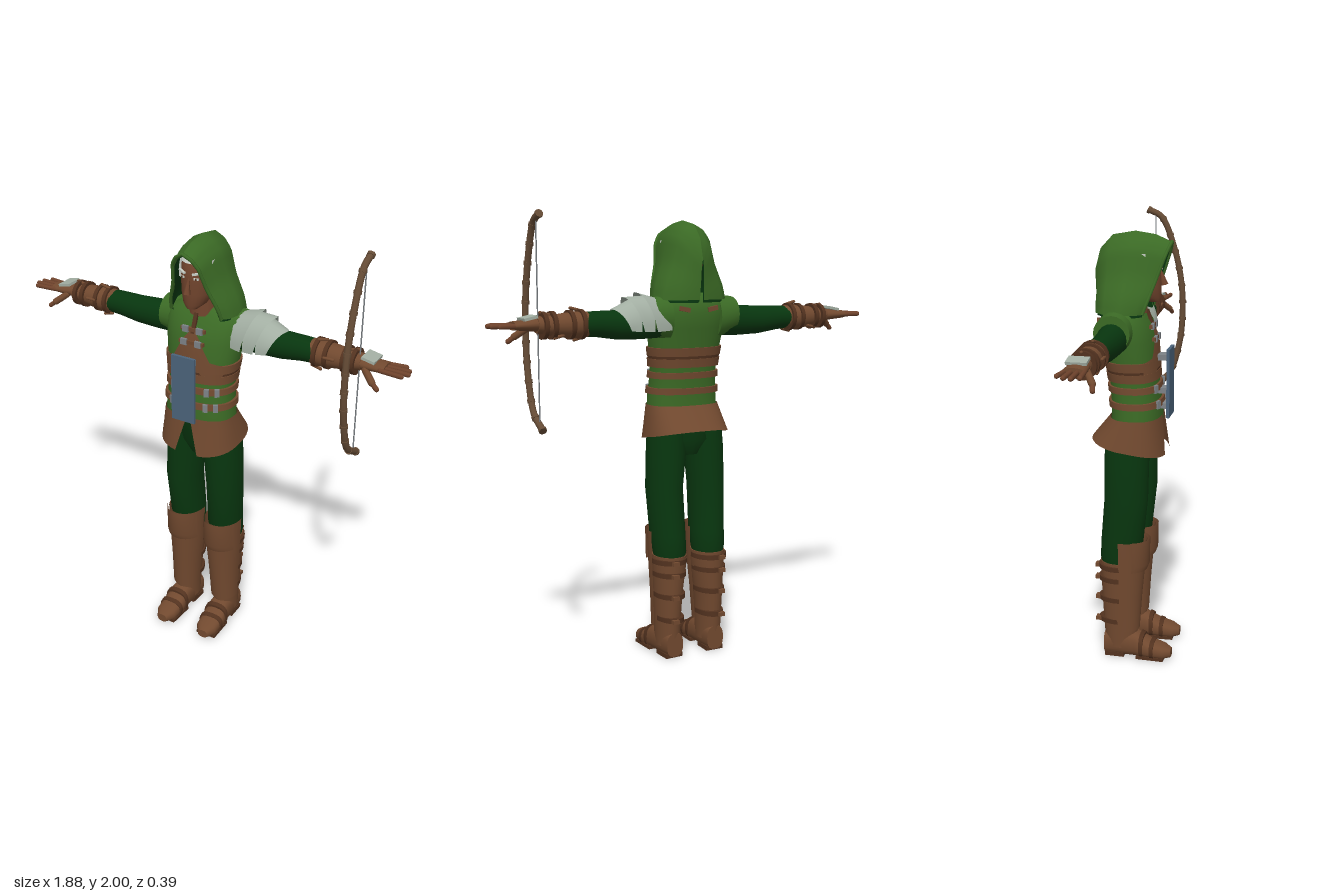
import * as THREE from 'three';
import { toCreasedNormals } from 'three/addons/utils/BufferGeometryUtils.js';
import { ParametricGeometry } from 'three/addons/geometries/ParametricGeometry.js';

const mat = (name, color) => new THREE.MeshStandardMaterial({ name, color, side: THREE.DoubleSide });
const M = {
  green: mat('leaf green cloth', 0x3b6a25), dark: mat('dark green cloth', 0x08360f),
  brown: mat('brown leather', 0x71492f), deep: mat('dark leather', 0x52321f),
  skin: mat('skin', 0x6f432c), pale: mat('white hair', 0xc6ccc4), plate: mat('pale plate', 0xa3afa3),
  slate: mat('slate', 0x4b637b), wood: mat('bow wood', 0x664c36), metal: mat('grey metal', 0x7d8286),
};
const V = (x, y, z) => new THREE.Vector3(x, y, z);
const pow = (c, p) => Math.sign(c) * Math.abs(c) ** p;

function add(parent, name, geo, material, x = 0, y = 0, z = 0) {
  const m = new THREE.Mesh(geo, material);
  m.name = name;
  m.position.set(x, y, z);
  parent.add(m);
  return m;
}

// Surface over u, v with smooth normals and sharp creases
function surface(fn, nu, nv, crease = 0.9) {
  const g = new ParametricGeometry((u, v, t) => t.set(...fn(u, v)), nu, nv);
  g.deleteAttribute('normal');
  g.deleteAttribute('uv');
  g.scale(100, 100, 100);
  return toCreasedNormals(g, crease).scale(0.01, 0.01, 0.01);
}

// Closed body from rings [y, x, z, rx, rz]
function loft(rings, p = 1, n = 24) {
  const a = rings[0], b = rings[rings.length - 1];
  const r = [[a[0], a[1], a[2], 0, 0], ...rings, [b[0], b[1], b[2], 0, 0]];
  return surface((u, v) => {
    const [y, x, z, rx, rz] = r[Math.round(v * (r.length - 1))];
    const k = Math.round(u * n) % n * 2 * Math.PI / n;
    return [x + rx * pow(Math.sin(k), p), y, z + rz * pow(Math.cos(k), p)];
  }, n, r.length - 1);
}

// Linear lookup in rows sorted by their first value
function lookup(rows, t) {
  let i = 0;
  while (i < rows.length - 2 && t > rows[i + 1][0]) i++;
  const k = THREE.MathUtils.clamp((t - rows[i][0]) / (rows[i + 1][0] - rows[i][0]), 0, 1);
  return rows[i].map((q, j) => q + (rows[i + 1][j] - q) * k);
}

// Capsule between two points
function rod(parent, name, a, b, r, material) {
  const d = b.clone().sub(a), m = add(parent, name, new THREE.CapsuleGeometry(r, d.length(), 4, 8), material);
  m.position.copy(a).addScaledVector(d, 0.5);
  m.quaternion.setFromUnitVectors(V(0, 1, 0), d.normalize());
  return m;
}

const box = (w, h, d) => new THREE.BoxGeometry(w, h, d);

const TORSO = [[1.13, 0, 0.01, 0.165, 0.112], [1.2, 0, 0.01, 0.16, 0.11], [1.3, 0, 0, 0.153, 0.106],
  [1.4, 0, -0.01, 0.165, 0.11], [1.5, 0, -0.025, 0.178, 0.115], [1.57, 0, -0.04, 0.183, 0.112],
  [1.62, 0, -0.05, 0.172, 0.09], [1.65, 0, -0.05, 0.1, 0.07]];
const TP = 0.85;
function chestZ(x, y) {
  const [, , z, rx, rz] = lookup(TORSO, y);
  return z + rz * Math.max(0, 1 - Math.abs(x / rx) ** (2 / TP)) ** (TP / 2);
}

function buildTorso(g) {
  add(g, 'vest', loft(TORSO, TP, 32), M.green);
  const band = (name, y, h, off, m) => {
    const ring = yy => { const [, x, z, rx, rz] = lookup(TORSO, yy); return [yy, x, z, rx + off, rz + off]; };
    add(g, name, loft([ring(y - h / 2), ring(y + h / 2)], TP, 32), m);
  };
  for (const y of [1.22, 1.29]) band('waistStrap', y, 0.028, 0.011, M.brown);
  for (const y of [1.345, 1.395]) band('ribBand', y, 0.038, 0.009, M.brown);
  band('ribBandGap', 1.37, 0.03, 0.006, M.deep);
  // Curved leather panel below the breast
  const top = [[0, 1.57], [0.04, 1.52], [0.09, 1.43], [0.16, 1.41]];
  const low = [[0, 1.44], [0.05, 1.37], [0.1, 1.335], [0.16, 1.33]];
  add(g, 'chestPanel', surface((u, v) => {
    const x = (u - 0.5) * 0.31, a = lookup(low, Math.abs(x))[1], b = lookup(top, Math.abs(x))[1];
    const y = a + (b - a) * v;
    return [x, y, chestZ(x, y) + 0.009];
  }, 24, 4), M.brown);
  add(g, 'collarLacing', box(0.018, 0.09, 0.012), M.deep, 0, 1.585, 0.068).rotation.x = -0.35;
  // Clasps, buckles and the slate on its brackets
  for (const y of [1.56, 1.505]) {
    add(g, 'claspStrap', box(0.12, 0.016, 0.014), M.brown, 0, y, chestZ(0.03, y) + 0.006);
    for (const s of [-1, 1]) add(g, 'clasp', box(0.03, 0.028, 0.012), M.metal, s * 0.035, y, chestZ(0.035, y) + 0.012);
  }
  for (const y of [1.22, 1.29]) for (const x of [-0.085, 0.085, 0.125]) {
    const b = add(g, 'buckle', box(0.022, 0.036, 0.012), M.metal, x, y, chestZ(x, y) + 0.015);
    b.rotation.y = x * 5;
  }
  for (const y of [1.2, 1.27, 1.42]) add(g, 'bracket', box(0.06, 0.025, 0.06), M.metal, 0, y, 0.125);
  add(g, 'slate', box(0.115, 0.31, 0.014), M.slate, -0.002, 1.308, 0.158);
  for (const s of [-1, 1]) add(g, 'backTab', box(0.05, 0.02, 0.012), M.brown, s * 0.07, 1.585, -0.146).rotation.z = s * 0.2;
  // Flared skirt, split at the front and longer there
  add(g, 'skirt', surface((u, v) => {
    const d = 1 - v, gap = 0.02 + 0.2 * d, k = gap + u * (2 * Math.PI - 2 * gap), c = Math.cos(k);
    return [(0.166 + 0.024 * d) * pow(Math.sin(k), 0.8), 1.155 - d * (0.14 + 0.035 * c),
      0.01 - 0.03 * d + (0.115 + 0.055 * d) * pow(c, 0.8)];
  }, 40, 4), M.brown);
  add(g, 'hips', loft([[0.93, 0, -0.02, 0.06, 0.07], [1.0, 0, -0.02, 0.15, 0.1], [1.13, 0, 0, 0.16, 0.105]]), M.dark);
}

function buildHead(g) {
  add(g, 'neck', new THREE.CylinderGeometry(0.055, 0.065, 0.1, 16), M.skin, 0, 1.665, -0.01);
  add(g, 'head', loft([[1.665, 0, 0.085, 0.025, 0.025], [1.685, 0, 0.06, 0.05, 0.055], [1.73, 0, 0.03, 0.07, 0.085],
    [1.79, 0, 0.015, 0.078, 0.1], [1.85, 0, 0.005, 0.078, 0.105], [1.9, 0, -0.01, 0.06, 0.085], [1.925, 0, -0.01, 0.02, 0.03]]), M.skin);
  const nose = add(g, 'nose', new THREE.ConeGeometry(0.017, 0.075, 6), M.skin, 0, 1.775, 0.12);
  nose.rotation.x = -0.25;
  add(g, 'mouth', box(0.04, 0.006, 0.008), M.deep, 0, 1.712, 0.105);
  add(g, 'hair', loft([[1.868, 0, 0.004, 0.08, 0.108], [1.9, 0, -0.008, 0.068, 0.096], [1.925, 0, -0.01, 0.03, 0.05]]), M.pale);
  for (const s of [-1, 1]) {
    add(g, 'eye', box(0.022, 0.008, 0.006), M.pale, s * 0.033, 1.805, 0.108).rotation.y = s * 0.4;
    add(g, 'pupil', box(0.008, 0.008, 0.006), M.deep, s * 0.033, 1.805, 0.11).rotation.y = s * 0.4;
    const brow = add(g, 'brow', box(0.038, 0.008, 0.01), M.pale, s * 0.035, 1.828, 0.108);
    brow.rotation.set(0, s * 0.4, s * 0.2);
    add(g, 'sideHair', box(0.012, 0.1, 0.05), M.pale, s * 0.076, 1.83, 0.035);
    add(g, 'ear', new THREE.SphereGeometry(0.02, 10, 8), M.skin, s * 0.08, 1.77, 0.0);
  }
  // Hood from arches [topZ, topY, footZ, width], front to back
  const arches = [[0.16, 1.925, 0.055, 0.125], [0.09, 1.955, 0.03, 0.15], [0, 1.968, -0.04, 0.168],
    [-0.1, 1.95, -0.11, 0.155], [-0.155, 1.89, -0.155, 0.11], [-0.18, 1.8, -0.172, 0.01]];
  const shape = [[0, 1], [0.16, 0.94], [0.48, 0.66], [0.8, 0.5], [0.93, 0.29], [1, 0]];
  const arch = (u, i) => {
    const [zt, yt, zf, w] = arches[i], q = 1 - Math.abs(2 * u - 1);
    const h = Math.sin(q * Math.PI / 2);
    return [Math.sign(u - 0.5) * w * lookup(shape, h)[1], 1.625 + (yt - 1.625) * h, zf + (zt - zf) * h];
  };
  add(g, 'hood', surface((u, v) => arch(u, Math.round(v * 5)), 32, 5, 1.2), M.green);
  const rim = new THREE.CatmullRomCurve3(Array.from({ length: 25 }, (_, i) => V(...arch(i / 24, 0))));
  add(g, 'hoodRim', new THREE.TubeGeometry(rim, 48, 0.008, 6), M.green);
  add(g, 'hoodLining', surface((u, v) => {
    const [x, y, z] = arch(1 - u, Math.round(v * 5));
    return [x * 0.93, y - 0.012, z * 0.95];
  }, 32, 5, 1.2), M.dark);
}

function buildArm(g, s) {
  // Limb is built along its own y, then turned outward
  const a = new THREE.Group();
  a.name = s > 0 ? 'leftArm' : 'rightArm';
  a.position.set(0, 1.535, -0.06);
  a.rotation.z = -s * Math.PI / 2;
  g.add(a);
  const R = rows => loft(rows.map(([x, dy, ry, rz]) => [x, -s * dy, 0, ry, rz]), 1, 20);
  add(a, 'armhole', R([[0.12, 0.01, 0.1, 0.085], [0.215, 0.02, 0.078, 0.08]]), M.green);
  add(a, 'sleeve', R([[0.14, 0, 0.075, 0.075], [0.25, -0.01, 0.068, 0.063], [0.36, -0.012, 0.063, 0.057],
    [0.46, -0.005, 0.055, 0.055], [0.56, -0.005, 0.05, 0.052], [0.7, -0.005, 0.038, 0.04]]), M.dark);
  add(a, 'bracer', R([[0.5, -0.005, 0.054, 0.052], [0.56, -0.006, 0.057, 0.057], [0.66, -0.005, 0.045, 0.046], [0.73, 0, 0.034, 0.042]]), M.brown);
  for (const x of [0.52, 0.57, 0.65, 0.69]) add(a, 'bracerStrap',
    R([[x, -0.004, 0.082 - x * 0.035, 0.084 - x * 0.035], [x + 0.018, -0.004, 0.082 - x * 0.035, 0.084 - x * 0.035]]), M.deep);
  add(a, 'palm', R([[0.71, 0, 0.03, 0.038], [0.77, 0, 0.024, 0.045], [0.835, 0, 0.018, 0.048]]), M.brown);
  const P = (x, y, z) => V(s * x, y, z);
  for (let i = 0; i < 4; i++) rod(g, 'finger', P(0.82, 1.535, -0.095 + i * 0.025), P([0.9, 0.925, 0.932, 0.915][i], 1.535, -0.105 + i * 0.031), 0.0105, M.skin);
  rod(g, 'thumb', P(0.755, 1.52, -0.025), P(0.8, 1.485, 0.005), 0.015, M.brown);
  rod(g, 'thumbTip', P(0.8, 1.485, 0.005), P(0.825, 1.465, 0.012), 0.011, M.skin);
  add(g, 'wristPlate', box(0.06, 0.012, 0.085), M.plate, s * 0.765, 1.565, -0.06).rotation.z = -s * 0.2;
  // Loose leather tongues on the bracer
  for (const [x, y, z, t] of [[0.55, 1.59, -0.05, 1], [0.69, 1.575, -0.06, 1], [0.53, 1.475, -0.04, -1], [0.64, 1.49, -0.09, -1], [0.6, 1.54, 0.0, 0]])
    rod(g, 'tongue', P(x - 0.02, y, z), P(x + 0.02, y + t * 0.01, z), 0.007, M.brown);
}

function buildLeg(g, s) {
  const R = (rows, p) => loft(rows.map(([y, x, ...r]) => [y, s * x, ...r]), p);
  add(g, 'trouserLeg', R([[0.44, 0.1, -0.055, 0.065, 0.075], [0.49, 0.1, -0.055, 0.074, 0.086], [0.57, 0.102, -0.04, 0.077, 0.098],
    [0.78, 0.108, -0.02, 0.081, 0.1], [0.95, 0.097, -0.02, 0.088, 0.102], [1.09, 0.09, -0.015, 0.085, 0.1]]), M.dark);
  add(g, 'boot', R([[0.05, 0.108, -0.045, 0.053, 0.072], [0.15, 0.108, -0.045, 0.055, 0.08], [0.3, 0.106, -0.05, 0.063, 0.084],
    [0.42, 0.1, -0.052, 0.074, 0.088], [0.475, 0.1, -0.052, 0.076, 0.09]]), M.brown);
  // Shin and knee guards wrap the front only
  const guard = (name, rows, arc) => add(g, name, surface((u, v) => {
    const [y, x, z, rx, rz] = rows[Math.round(v * (rows.length - 1))], k = (u - 0.5) * 2 * arc;
    return [s * x + rx * Math.sin(k), y, z + rz * Math.cos(k)];
  }, 18, rows.length - 1), M.brown);
  guard('shinGuard', [[0.14, 0.108, -0.03, 0.064, 0.072], [0.3, 0.104, -0.03, 0.072, 0.082], [0.45, 0.1, -0.03, 0.083, 0.095], [0.585, 0.1, -0.03, 0.086, 0.105]], 1.7);
  guard('kneeGuard', [[0.44, 0.1, -0.025, 0.087, 0.1], [0.47, 0.1, -0.025, 0.089, 0.112], [0.59, 0.1, -0.025, 0.09, 0.114]], 1.15);
  for (const [y, r] of [[0.17, 0.06], [0.28, 0.067], [0.38, 0.075], [0.44, 0.08]]) {
    add(g, 'bootStrap', R([[y, 0.104, -0.056, r, 0.093], [y + 0.022, 0.104, -0.056, r, 0.093]]), M.deep);
    add(g, 'strapEnd', box(0.03, 0.018, 0.025), M.brown, s * 0.12, y + 0.011, -0.148);
  }
  const foot = new THREE.Group();
  foot.name = 'foot';
  foot.position.x = s * 0.11;
  foot.rotation.y = s * 0.03;
  g.add(foot);
  const rows = [[-0.12, 0.06, 0.042, 0.055], [-0.05, 0.068, 0.052, 0.064], [0.03, 0.064, 0.052, 0.06],
    [0.09, 0.046, 0.056, 0.042], [0.16, 0.035, 0.05, 0.031], [0.195, 0.03, 0.025, 0.02]];
  add(foot, 'shoe', loft(rows.map(([z, h, rx, ry]) => [z, 0, -h, rx, ry]), 0.75, 20), M.brown).rotation.x = Math.PI / 2;
  add(foot, 'heel', box(0.085, 0.02, 0.09), M.deep, 0, 0.01, -0.07);
  add(foot, 'sole', box(0.098, 0.014, 0.13), M.deep, 0, 0.007, 0.1);
  for (const [z, h] of [[0.05, 0.061], [0.1, 0.046]])
    add(foot, 'footStrap', loft([[z, 0, -h, 0.06, h - 0.002], [z + 0.018, 0, -h + 0.004, 0.06, h - 0.006]], 0.75, 20), M.deep).rotation.x = Math.PI / 2;
}

// Overlapping pointed shells on the left shoulder
function buildPauldron(g) {
  const layers = [[0.13, 0.27, 0.12, 0.155, 0.085, 0.105], [0.22, 0.33, 0.14, 0.135, 0.1, 0.1], [0.28, 0.385, 0.13, 0.085, 0.095, 0.085]];
  layers.forEach(([x0, x1, h0, h1, d0, d1]) => add(g, 'shoulderPad', surface((u, v) => {
    const k = (u - 0.5) * 3.3, t = Math.abs(u - 0.5) * 2;
    return [x0 + (x1 - 0.06 * t - x0) * v, 1.505 + (h0 + (h1 - h0) * v) * Math.cos(k), -0.055 + (d0 + (d1 - d0) * v) * Math.sin(k)];
  }, 16, 4), M.plate));
}

function buildBow(g) {
  const pts = [[1.985, -0.085], [1.955, -0.025], [1.8, 0.042], [1.62, 0.08], [1.45, 0.085], [1.31, 0.068], [1.16, 0.015], [1.097, -0.08]];
  const curve = new THREE.CatmullRomCurve3(pts.map(([y, z]) => V(0.717, y, z)));
  add(g, 'bowLimb', new THREE.TubeGeometry(curve, 48, 0.015, 8), M.wood);
  for (let i = 0; i <= 12; i++) {
    const ring = add(g, 'bowKnot', new THREE.CylinderGeometry(0.018, 0.018, 0.014, 8), M.wood);
    ring.position.copy(curve.getPointAt(i / 12));
    ring.quaternion.setFromUnitVectors(V(0, 1, 0), curve.getTangentAt(i / 12));
  }
  add(g, 'bowString', new THREE.CylinderGeometry(0.003, 0.003, 0.85, 6), M.metal, 0.717, 1.54, -0.052);
}

export function createModel() {
  const g = new THREE.Group();
  g.name = 'hoodedArcher';
  buildTorso(g);
  buildHead(g);
  for (const s of [-1, 1]) {
    buildArm(g, s);
    buildLeg(g, s);
  }
  buildPauldron(g);
  buildBow(g);
  return g;
}
